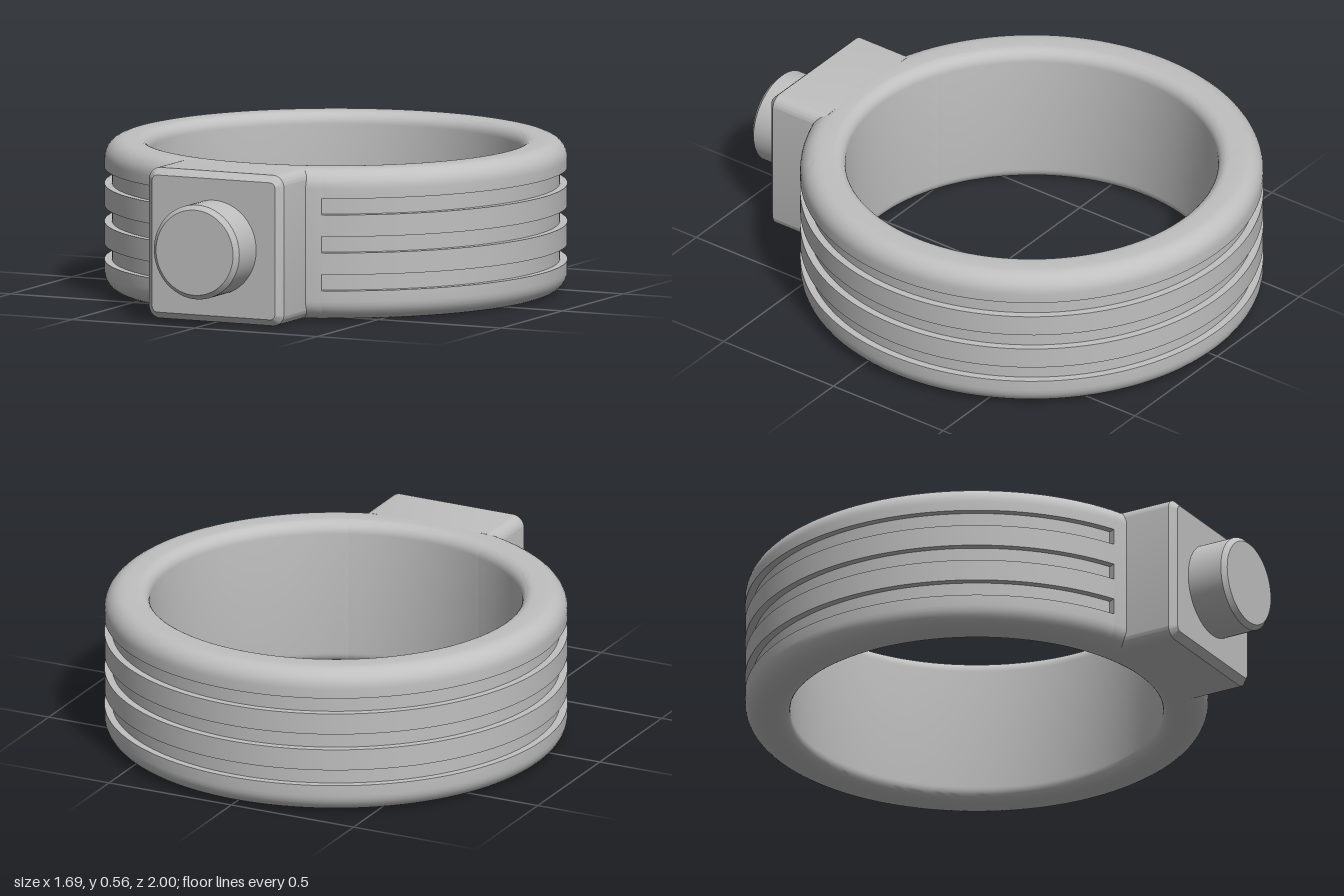
import * as THREE from 'three';
import { toCreasedNormals } from 'three/addons/utils/BufferGeometryUtils.js';

const H = 0.555, R_OUT = 0.845, R_IN = 0.68, RING_Z = -0.155;
const R_GROOVE = 0.817, GROOVE_H = 0.06, GROOVES = [0.11, 0.25, 0.39];
const END = Math.asin(0.33 / R_OUT); // half angle of the ungrooved front

// closed cross-section of the band, with or without grooves
function bandProfile(grooved) {
  const pts = [];
  const arc = (cx, cy, r, start) => {
    for (let i = 0; i <= 8; i++) {
      const t = start + (i / 8) * Math.PI / 2;
      pts.push(new THREE.Vector2(cx + r * Math.cos(t), cy + r * Math.sin(t)));
    }
  };
  const fo = 0.07, fi = 0.045;
  arc(R_OUT - fo, fo, fo, -Math.PI / 2);
  if (grooved) {
    for (const y of GROOVES) {
      const top = y + GROOVE_H;
      pts.push(new THREE.Vector2(R_OUT, y), new THREE.Vector2(R_GROOVE, y),
        new THREE.Vector2(R_GROOVE, top), new THREE.Vector2(R_OUT, top));
    }
  }
  arc(R_OUT - fo, H - fo, fo, 0);
  arc(R_IN + fi, H - fi, fi, Math.PI / 2);
  arc(R_IN + fi, fi, fi, Math.PI);
  pts.push(pts[0].clone());
  return pts;
}

function roundedRect(w, h, r) {
  const s = new THREE.Shape(), x = w / 2, y = h / 2;
  s.absarc(x - r, y - r, r, 0, Math.PI / 2);
  s.absarc(-x + r, y - r, r, Math.PI / 2, Math.PI);
  s.absarc(-x + r, -y + r, r, Math.PI, Math.PI * 1.5);
  s.absarc(x - r, -y + r, r, Math.PI * 1.5, Math.PI * 2);
  s.closePath();
  return s;
}

export function createModel() {
  const group = new THREE.Group();
  const grey = new THREE.MeshStandardMaterial({ color: 0xc0c0c0 });
  grey.name = 'grey';
  const add = (name, geometry, parent = group) => {
    const mesh = new THREE.Mesh(geometry, grey);
    mesh.name = name;
    parent.add(mesh);
    return mesh;
  };

  // band: grooved around the back and sides, plain at the front
  const band = new THREE.Group();
  band.name = 'band';
  band.position.z = RING_Z;
  group.add(band);
  const lathe = (grooved, segs, start, length) =>
    toCreasedNormals(new THREE.LatheGeometry(bandProfile(grooved), segs, start, length), 0.6);
  add('groovedBand', lathe(true, 144, END, Math.PI * 2 - 2 * END), band);
  add('plainBand', lathe(false, 24, -END, 2 * END), band);

  // end walls of the grooves
  const rMid = (R_OUT + R_GROOVE) / 2;
  for (const side of [-1, 1]) {
    for (const y of GROOVES) {
      const wall = add('grooveEnd', new THREE.PlaneGeometry(R_OUT - R_GROOVE, GROOVE_H), band);
      wall.position.set(side * rMid * Math.sin(END), y + GROOVE_H / 2, rMid * Math.cos(END));
      wall.rotation.y = side * (Math.PI / 2 + END);
    }
  }

  // front block with a chamfered face
  const c = 0.025, back = 0.57, front = 0.845;
  const block = new THREE.ExtrudeGeometry(roundedRect(0.55 - 2 * c, H - 2 * c, 0.02), {
    depth: front - back - 2 * c, bevelEnabled: true, bevelSize: c, bevelThickness: c,
    bevelSegments: 1, curveSegments: 6,
  });
  add('frontBlock', toCreasedNormals(block, 0.6)).position.set(0, H / 2, back + c);

  // round button with a chamfered rim
  const button = new THREE.LatheGeometry([
    [0.174, 0], [0.174, 0.138], [0.157, 0.155], [0, 0.155],
  ].map(([r, y]) => new THREE.Vector2(r, y)), 64);
  button.rotateX(Math.PI / 2);
  add('button', toCreasedNormals(button, 0.6)).position.set(0, H / 2, front);

  return group;
}
